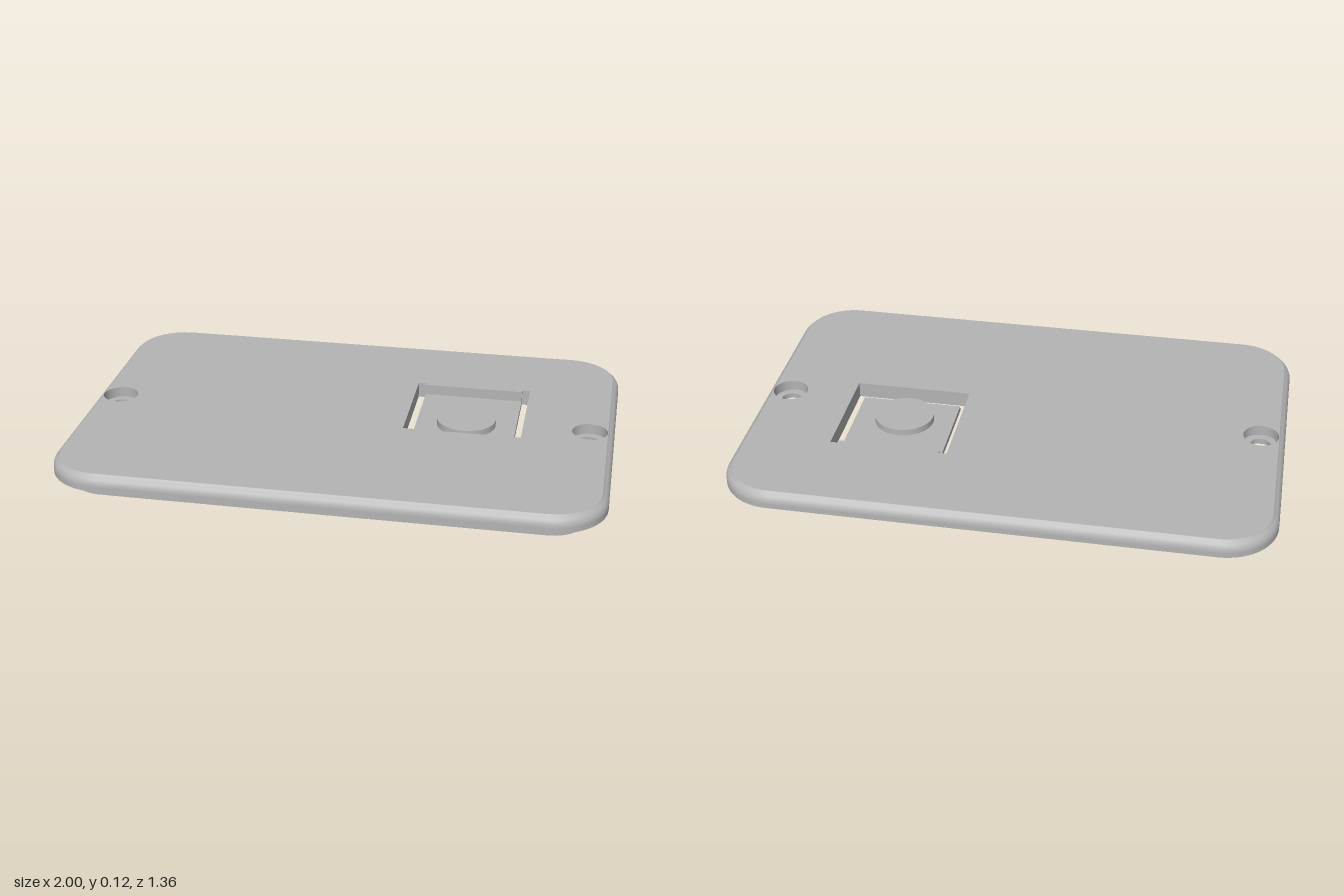
import * as THREE from 'three';
import { toCreasedNormals, mergeVertices } from 'three/addons/utils/BufferGeometryUtils.js';

const W = 1, D = 0.68, R = 0.2;              // plate half width, half depth, corner radius
const BOTTOM = 0.06, FLOOR = 0.08, TOP = 0.12;
const HOLE_X = 0.909;

// Rounded rectangle outline shrunk by an inset, counter-clockwise
function outline(inset, n = 14) {
  const pts = [], r = R - inset;
  [[1, 1], [-1, 1], [-1, -1], [1, -1]].forEach(([sx, sy], q) => {
    for (let i = 0; i <= n; i++) {
      const a = (q + i / n) * Math.PI / 2;
      pts.push(new THREE.Vector2(sx * (W - R) + r * Math.cos(a), sy * (D - R) + r * Math.sin(a)));
    }
  });
  return pts;
}

const circle = (x, r) => new THREE.Path().absarc(x, 0, r, 0, Math.PI * 2, true);
// Path from [x, z] pairs
const polygon = (pairs) => new THREE.Path(pairs.map(([x, z]) => new THREE.Vector2(x, -z)));

// Extrude a plan shape upward between two heights
function slab(points, holes, y0, y1) {
  const shape = new THREE.Shape(points);
  shape.holes.push(...holes);
  const geo = new THREE.ExtrudeGeometry(shape, { depth: y1 - y0, bevelEnabled: false, curveSegments: 32 });
  geo.rotateX(-Math.PI / 2).translate(0, y0, 0);
  return toCreasedNormals(geo, 0.6);
}

// Rounded upper edge: outlines lofted along a quarter arc
function roundedEdge() {
  const radius = TOP - FLOOR, steps = 8, last = Math.acos(1 - 0.024 / radius);
  const pos = [], index = [];
  let count = 0;
  for (let j = 0; j <= steps; j++) {
    const a = last * j / steps;
    const y = j === steps ? TOP : FLOOR + radius * Math.sin(a);
    const ring = outline(radius * (1 - Math.cos(a)));
    count = ring.length;
    ring.forEach((p) => pos.push(p.x, y, -p.y));
  }
  for (let j = 0; j < steps; j++) {
    for (let i = 0; i < count; i++) {
      const a = j * count + i, b = j * count + (i + 1) % count;
      index.push(a, b, b + count, a, b + count, a + count);
    }
  }
  const geo = new THREE.BufferGeometry();
  geo.setAttribute('position', new THREE.Float32BufferAttribute(pos, 3));
  geo.setIndex(index);
  const smooth = mergeVertices(geo);
  smooth.computeVertexNormals();
  return smooth;
}

export function createModel() {
  const group = new THREE.Group();
  const grey = new THREE.MeshStandardMaterial({ color: 0xb4b4b4 });
  grey.name = 'grey plastic';
  const add = (name, geo) => {
    const mesh = new THREE.Mesh(geo, grey);
    mesh.name = name;
    group.add(mesh);
    return mesh;
  };

  // Lower layer: screw holes and the U-shaped slot that frees the button tongue
  const slot = polygon([[0.22, -0.32], [0.22, 0.095], [0.66, 0.095], [0.66, -0.32],
    [0.63, -0.32], [0.63, 0.06], [0.25, 0.06], [0.25, -0.32]]);
  add('plateBase', slab(outline(0), [circle(-HOLE_X, 0.038), circle(HOLE_X, 0.038), slot], BOTTOM, FLOOR));

  // Upper layer: counterbores and the button recess
  const recess = polygon([[0.22, -0.32], [0.22, 0.095], [0.66, 0.095], [0.66, -0.32],
    [0.63, -0.32], [0.63, -0.305], [0.25, -0.305], [0.25, -0.32]]);
  add('plateTop', slab(outline(0.024), [circle(-HOLE_X, 0.066), circle(HOLE_X, 0.066), recess], FLOOR, TOP));
  add('plateRoundedEdge', roundedEdge());

  // Locating lip under the plate, in two halves with a gap at each end
  const gap = 0.11;
  const halfPath = (inset) => {
    const arc = outline(inset).filter((p) => p.y > gap);
    const x = W - inset;
    return [new THREE.Vector2(x, gap), ...arc, new THREE.Vector2(-x, gap)];
  };
  const lipGeo = slab([...halfPath(0.072), ...halfPath(0.117).reverse()], [], 0.01, BOTTOM);
  add('lipBack', lipGeo);
  add('lipFront', lipGeo).rotation.y = Math.PI;

  // Push button above the tongue and its plunger below
  const disc = (name, r, y0, y1) =>
    add(name, new THREE.CylinderGeometry(r, r, y1 - y0, 48)).position.set(0.44, (y0 + y1) / 2, -0.065);
  disc('button', 0.112, FLOOR, 0.105);
  disc('plunger', 0.052, 0, BOTTOM);

  return group;
}
